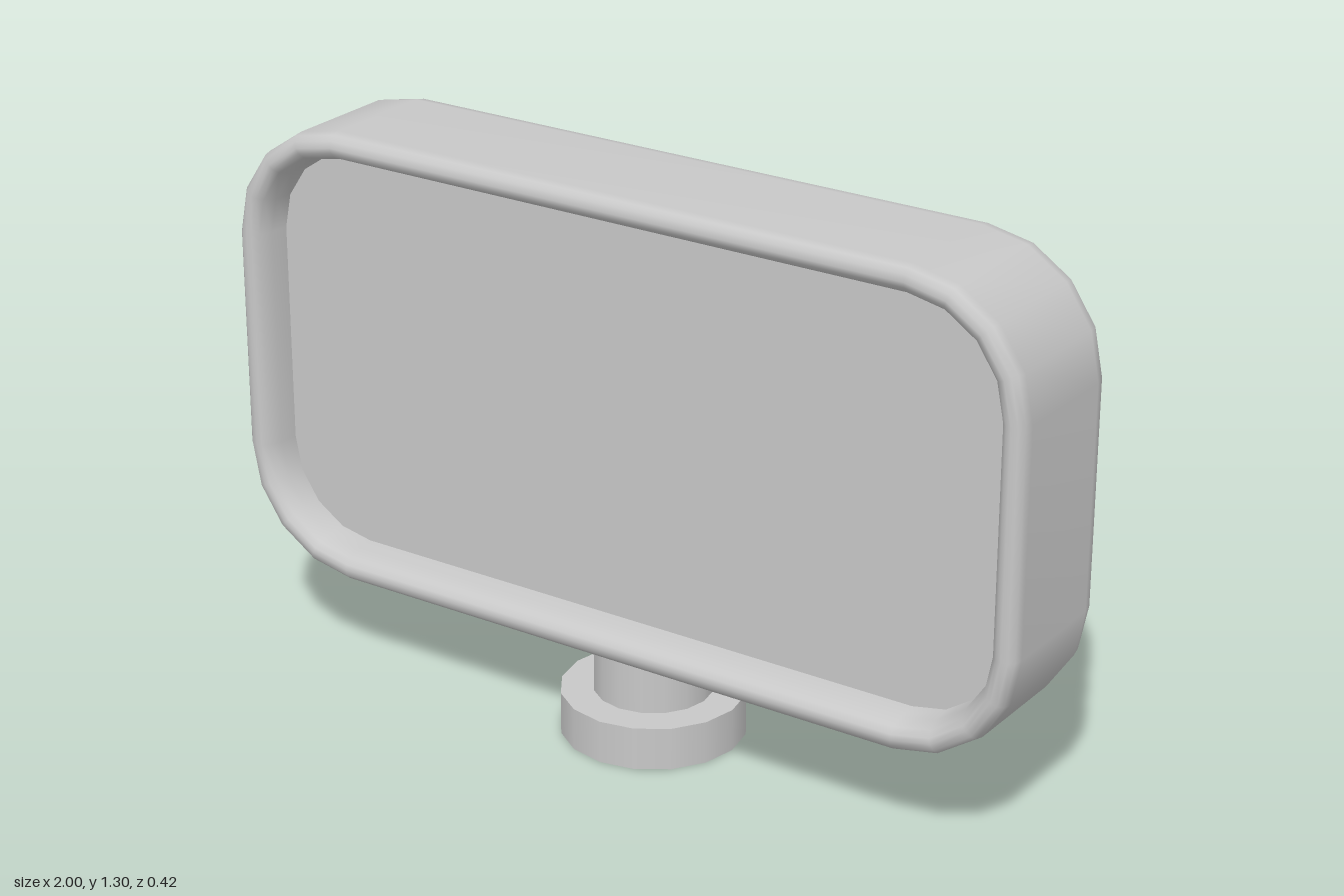
import * as THREE from 'three';

const CENTER_Y = 0.77, HALF_W = 1, HALF_H = 0.535, RADIUS = 0.28, CORNER_STEPS = 4;

// Rounded rectangle outline, counter-clockwise from the front, shrunk by inset
function outline(inset) {
  const r = RADIUS - inset;
  const cx = HALF_W - RADIUS, cy = HALF_H - RADIUS;
  const corners = [[cx, cy], [-cx, cy], [-cx, -cy], [cx, -cy]];
  const pts = [];
  corners.forEach(([x, y], k) => {
    for (let s = 0; s <= CORNER_STEPS; s++) {
      const a = (k + s / CORNER_STEPS) * Math.PI / 2;
      pts.push(new THREE.Vector2(x + r * Math.cos(a), CENTER_Y + y + r * Math.sin(a)));
    }
  });
  return pts;
}

// Skin a list of [inset, z] rings from front to back and close the back
function shell(profile) {
  const pos = [], index = [];
  const n = outline(0).length;
  profile.forEach(([inset, z]) => outline(inset).forEach(p => pos.push(p.x, p.y, z)));
  for (let i = 0; i < profile.length - 1; i++) {
    for (let j = 0; j < n; j++) {
      const a = i * n + j, b = i * n + (j + 1) % n;
      index.push(a, a + n, b, b, a + n, b + n);
    }
  }
  const last = (profile.length - 1) * n, center = pos.length / 3;
  pos.push(0, CENTER_Y, profile[profile.length - 1][1]);
  for (let j = 0; j < n; j++) index.push(last + (j + 1) % n, last + j, center);
  const geo = new THREE.BufferGeometry();
  geo.setAttribute('position', new THREE.Float32BufferAttribute(pos, 3));
  geo.setIndex(index);
  geo.computeVertexNormals();
  return geo;
}

export function createModel() {
  const group = new THREE.Group();
  const grey = new THREE.MeshStandardMaterial({ color: 0xc8c8c8, side: THREE.DoubleSide });
  grey.name = 'light grey';
  const add = (name, geo, y = 0) => {
    const mesh = new THREE.Mesh(geo, grey);
    mesh.name = name;
    mesh.position.y = y;
    group.add(mesh);
    return mesh;
  };

  // Housing: inner lip, rounded rim, straight sides, softly rounded back
  add('housing', shell([
    [0.07, 0.10], [0.066, 0.145], [0.055, 0.175], [0.042, 0.187], [0.03, 0.19],
    [0.015, 0.186], [0.004, 0.175], [0, 0.155],
    [0, -0.115], [0.006, -0.143], [0.023, -0.167], [0.05, -0.184], [0.08, -0.19], [0.11, -0.19],
  ]));

  // Recessed flat face
  const face = add('mirrorFace', new THREE.ShapeGeometry(new THREE.Shape(outline(0.07))));
  face.position.z = 0.10;

  // Hollow stand, open underneath
  add('neck', new THREE.CylinderGeometry(0.135, 0.135, 0.145, 16, 1, true), 0.1725);
  add('baseTop', new THREE.RingGeometry(0.135, 0.21, 16).rotateX(-Math.PI / 2), 0.1);
  add('baseWall', new THREE.CylinderGeometry(0.21, 0.21, 0.1, 16, 1, true), 0.05);

  return group;
}
